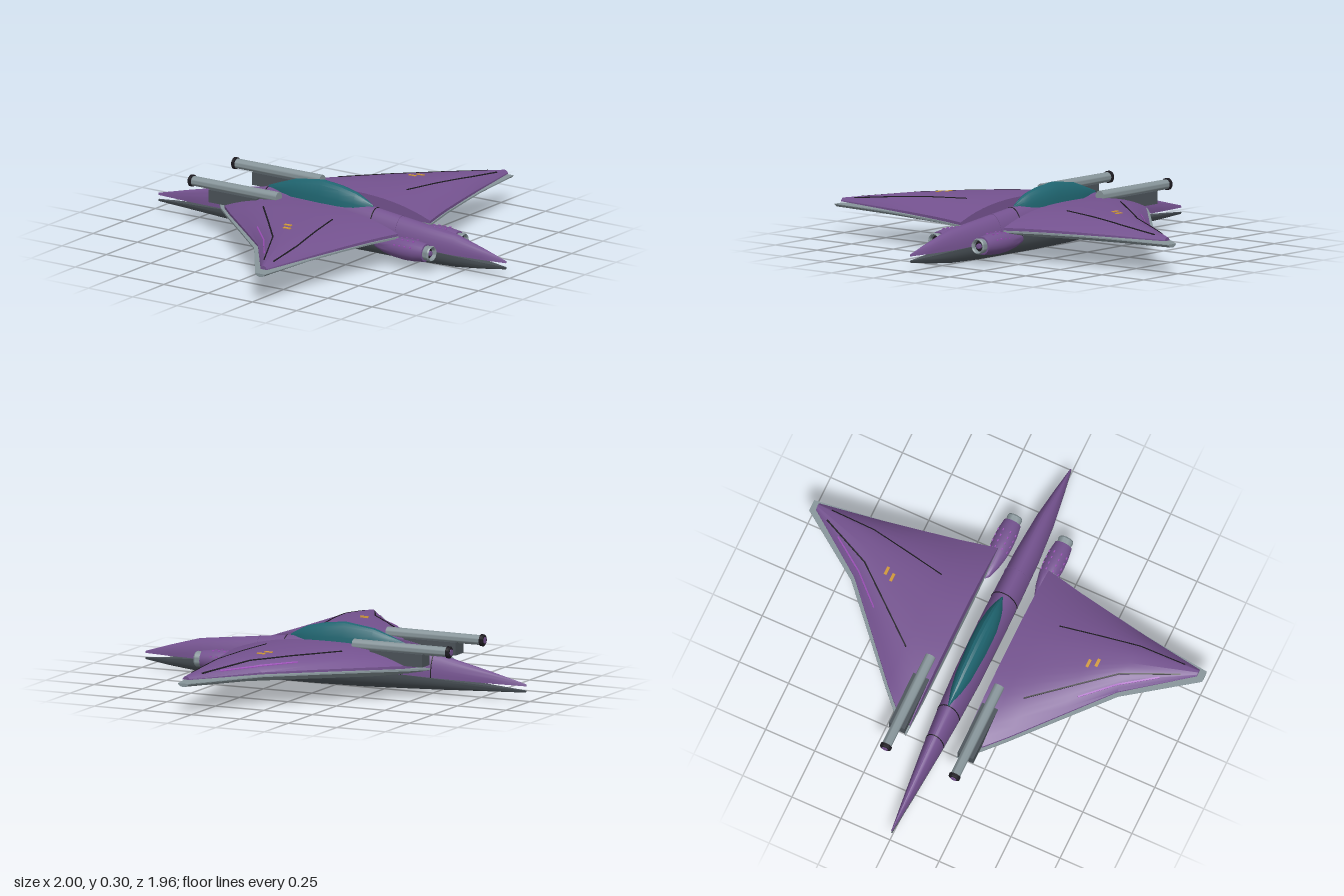
import * as THREE from 'three';
import { toCreasedNormals } from 'three/addons/utils/BufferGeometryUtils.js';

const paint = (name, color) => {
  const m = new THREE.MeshStandardMaterial({ color });
  m.name = name;
  return m;
};

// Closed skin over rings of equal length; turned outward by its signed volume
function loft(rings, crease = 0.7) {
  const n = rings[0].length, pos = rings.flat(2), idx = [];
  for (let i = 0; i < rings.length - 1; i++) {
    for (let j = 0; j < n; j++) {
      const k = (j + 1) % n, a = i * n + j, b = i * n + k, c = a + n, d = b + n;
      idx.push(a, b, c, b, d, c);
    }
  }
  const end = (rings.length - 1) * n;
  for (let j = 1; j < n - 1; j++) idx.push(0, j + 1, j, end, end + j, end + j + 1);
  let volume = 0;
  const v = (i) => new THREE.Vector3().fromArray(pos, i * 3);
  for (let i = 0; i < idx.length; i += 3) volume += v(idx[i]).dot(v(idx[i + 1]).cross(v(idx[i + 2])));
  if (volume < 0) idx.reverse();
  const g = new THREE.BufferGeometry();
  g.setAttribute('position', new THREE.Float32BufferAttribute(pos, 3));
  g.setIndex(idx);
  return toCreasedNormals(g, crease);
}

// Straight-line lookup in a table sorted by its first column
function lookup(table, t) {
  let i = 1;
  while (i < table.length - 1 && table[i][0] < t) i++;
  const a = table[i - 1], b = table[i];
  const f = THREE.MathUtils.clamp((t - a[0]) / (b[0] - a[0]), 0, 1);
  return a.map((p, k) => p + (b[k] - p) * f);
}

// Half-ellipse ring standing on (or hanging from) a flat base
const dome = (z, hw, base, tip, seg = 16) => Array.from({ length: seg + 1 }, (_, i) => {
  const a = Math.PI * i / seg;
  return [hw * Math.cos(a), base + (tip - base) * Math.sin(a), z];
});

// z, half width, top, upper seam, lower seam, bottom
const HULL = [
  [-0.98, 0.003, 0.08, 0.07, 0.05, 0.04], [-0.8, 0.021, 0.125, 0.072, 0.06, 0.032],
  [-0.55, 0.043, 0.182, 0.078, 0.075, 0.02], [-0.36, 0.056, 0.215, 0.085, 0.085, 0.012],
  [-0.15, 0.065, 0.233, 0.088, 0.088, 0.004], [0.1, 0.067, 0.23, 0.088, 0.088, 0],
  [0.3, 0.065, 0.208, 0.085, 0.085, 0], [0.5, 0.06, 0.185, 0.08, 0.08, 0],
  [0.7, 0.045, 0.162, 0.072, 0.07, 0.006], [0.85, 0.024, 0.12, 0.07, 0.058, 0.022],
  [0.98, 0.003, 0.08, 0.07, 0.05, 0.04],
];
// x, leading z, trailing z, base, crown
const WING_TOP = [
  [0.13, -0.5, 0.46, 0.142, 0.227], [0.22, -0.455, 0.44, 0.145, 0.232], [0.31, -0.36, 0.42, 0.147, 0.231],
  [0.49, -0.155, 0.387, 0.15, 0.225], [0.67, 0.05, 0.355, 0.152, 0.213], [0.97, 0.275, 0.31, 0.156, 0.172],
];
const WING_BOTTOM = [
  [0.13, -0.55, 0.465, 0.142, 0.082], [0.22, -0.475, 0.445, 0.144, 0.083], [0.31, -0.38, 0.425, 0.146, 0.089],
  [0.49, -0.177, 0.392, 0.147, 0.1], [0.68, 0.035, 0.36, 0.147, 0.112], [1.0, 0.265, 0.32, 0.143, 0.127],
];
const bulge = (u) => 0.15 + 0.85 * (1 - Math.abs(2 * u - 1) ** 2.6);

function wingHalf(table, s) {
  return loft(table.map(([x, z0, z1, base, crown]) => {
    const ring = [[s * x, base, z0]];
    for (let i = 0; i <= 18; i++) {
      const u = i / 18;
      ring.push([s * x, base + (crown - base) * bulge(u), z0 + (z1 - z0) * u]);
    }
    ring.push([s * x, base, z1]);
    return ring;
  }));
}

const wingY = (x, z) => {
  const [, z0, z1, base, crown] = lookup(WING_TOP, x);
  return base + (crown - base) * bulge(THREE.MathUtils.clamp((z - z0) / (z1 - z0), 0, 1));
};

// Thin painted strip laid over the wing along a polyline of [x, z]
function strip(points, width, s) {
  const rings = [], across = points.map((p, i) => {
    const a = points[Math.max(i - 1, 0)], b = points[Math.min(i + 1, points.length - 1)];
    const l = Math.hypot(b[0] - a[0], b[1] - a[1]);
    return [-(b[1] - a[1]) / l * width / 2, (b[0] - a[0]) / l * width / 2];
  });
  for (let i = 0; i < points.length - 1; i++) {
    for (let k = i ? 1 : 0; k <= 12; k++) {
      const mix = (list, c) => list[i][c] + (list[i + 1][c] - list[i][c]) * k / 12;
      const x = mix(points, 0), z = mix(points, 1), dx = mix(across, 0), dz = mix(across, 1);
      const at = (e, h) => [s * (x + e * dx), wingY(x + e * dx, z + e * dz) + h, z + e * dz];
      rings.push([at(-1, -0.003), at(-1, 0.003), at(1, 0.003), at(1, -0.003)]);
    }
  }
  return loft(rings);
}

// Turned part along z from [radius, z] pairs
const turned = (profile) => toCreasedNormals(
  new THREE.LatheGeometry(profile.map(([r, z]) => new THREE.Vector2(r, z)), 24).rotateX(Math.PI / 2), 0.6);

export function createModel() {
  const purple = paint('purple hull', 0x74528f);
  const grey = paint('light grey metal', 0x87959a);
  const dark = paint('dark grey belly', 0x4b5359);
  const teal = paint('teal glass', 0x1f6570);
  const black = paint('black lines', 0x1c1a20);
  const violet = paint('bright violet trim', 0x9a4fb5);
  const yellow = paint('yellow marks', 0xd0983a);

  const model = new THREE.Group();
  const add = (parent, name, geometry, material, x = 0, y = 0, z = 0) => {
    const mesh = new THREE.Mesh(geometry, material);
    mesh.name = name;
    mesh.position.set(x, y, z);
    parent.add(mesh);
  };

  // Fuselage: purple back over a dark belly, with thin panel bands
  add(model, 'fuselageTop', loft(HULL.map(([z, hw, top, seam]) => dome(z, hw, seam, top))), purple);
  add(model, 'fuselageBelly', loft(HULL.map(([z, hw, , , seam, low]) => dome(z, hw, seam, low))), dark);
  for (const z of [-0.51, -0.36, 0.25, 0.39]) {
    add(model, 'panelBand', loft([-0.002, 0.002].map((d) => {
      const [, hw, top, seam] = lookup(HULL, z + d);
      return dome(z + d, hw + 0.002, seam, top + 0.002);
    })), z > 0.3 ? purple : black);
  }

  // Canopy: z, half width, top
  const glass = [[-0.36, 0.004, 0.222], [-0.28, 0.026, 0.252], [-0.2, 0.039, 0.28], [-0.05, 0.048, 0.3],
    [0.06, 0.047, 0.287], [0.14, 0.036, 0.268], [0.18, 0.026, 0.25], [0.23, 0.004, 0.222]];
  add(model, 'canopy', loft(glass.map(([z, hw, top]) => dome(z, hw, 0.2, top, 10)), 0.35), teal);

  for (const s of [1, -1]) {
    const side = s > 0 ? 'left' : 'right';

    // Wing skins, panel lines and marks
    const wing = new THREE.Group();
    wing.name = side + 'Wing';
    add(wing, 'wingTop', wingHalf(WING_TOP, s), purple);
    add(wing, 'wingUnderside', wingHalf(WING_BOTTOM, s), grey);
    add(wing, 'frontPanelLine', strip([[0.3, -0.18], [0.65, 0.12], [0.9, 0.245]], 0.006, s), black);
    add(wing, 'rearPanelLine', strip([[0.3, 0.21], [0.68, 0.285], [0.9, 0.298]], 0.005, s), black);
    add(wing, 'trimStripe', strip([[0.52, -0.06], [0.66, 0.075], [0.82, 0.19]], 0.006, s), violet);
    add(wing, 'innerMark', strip([[0.5, 0.08], [0.5, 0.12]], 0.014, s), yellow);
    add(wing, 'outerMark', strip([[0.537, 0.1], [0.537, 0.14]], 0.014, s), yellow);
    model.add(wing);

    // Cannon on its mount
    const cannon = new THREE.Group();
    cannon.name = side + 'Cannon';
    cannon.position.set(s * 0.175, 0.233, 0);
    add(cannon, 'mount', new THREE.BoxGeometry(0.08, 0.06, 0.27), dark, 0, -0.045, -0.415);
    add(cannon, 'barrel', turned([[0, -0.66], [0.023, -0.66], [0.025, -0.18], [0, -0.18]]), grey);
    add(cannon, 'muzzle', turned([[0, -0.68], [0.022, -0.68], [0.028, -0.675], [0.028, -0.662], [0, -0.655]]), black);
    add(cannon, 'muzzleCore', turned([[0, -0.683], [0.015, -0.683], [0.015, -0.675]]), purple);
    model.add(cannon);

    // Engine pod with nozzle and rows of small vents
    const engine = new THREE.Group();
    engine.name = side + 'Engine';
    engine.position.set(s * 0.13, 0.09, 0);
    add(engine, 'pod', turned([[0, 0.32], [0.018, 0.34], [0.034, 0.39], [0.046, 0.45], [0.051, 0.51],
      [0.049, 0.57], [0.042, 0.62], [0, 0.625]]), purple);
    add(engine, 'nozzle', turned([[0.034, 0.62], [0.037, 0.648], [0.033, 0.655], [0.027, 0.65], [0.025, 0.63]]), grey);
    add(engine, 'exhaust', turned([[0.03, 0.635], [0, 0.635]]), black);
    add(engine, 'hub', turned([[0.013, 0.63], [0.012, 0.648], [0, 0.652]]), purple);
    for (const a of [0.5, 1.2, 1.94, 2.64]) {
      for (const z of [0.47, 0.5, 0.53, 0.56]) {
        const r = z < 0.48 ? 0.047 : 0.05;
        add(engine, 'vent', new THREE.BoxGeometry(0.006, 0.006, 0.01), violet, r * Math.cos(a), r * Math.sin(a), z);
      }
    }
    model.add(engine);
  }
  return model;
}
